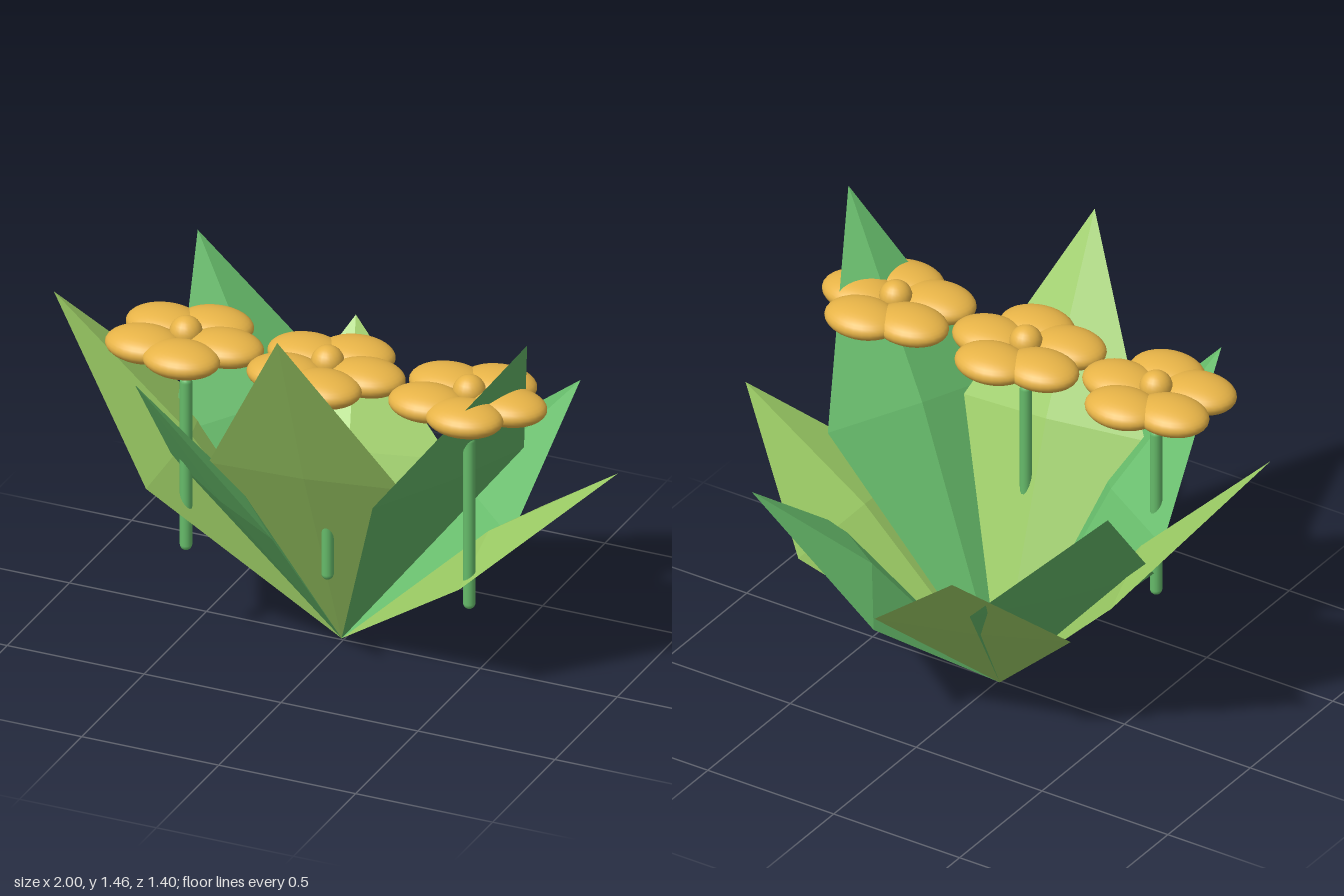
import * as THREE from 'three';

export function createModel() {
  const model = new THREE.Group();
  model.name = 'floweringPlant';

  const lightLeaf = new THREE.MeshStandardMaterial({ color: 0x9ccc65, flatShading: true });
  lightLeaf.name = 'light leaf green';
  const greenLeaf = new THREE.MeshStandardMaterial({ color: 0x66bb6a, flatShading: true });
  greenLeaf.name = 'leaf green';
  const stemGreen = new THREE.MeshStandardMaterial({ color: 0x66bb6a });
  stemGreen.name = 'stem green';
  const petalGold = new THREE.MeshStandardMaterial({ color: 0xe9b548 });
  petalGold.name = 'petal gold';

  const add = (parent, name, geometry, material, x, y, z) => {
    const mesh = new THREE.Mesh(geometry, material);
    mesh.name = name;
    mesh.position.set(x, y, z);
    parent.add(mesh);
  };

  // Thin solid diamond leaf: a raised ridge on the inside, almost flat outside
  function leafGeometry(tip) {
    const root = new THREE.Vector3();
    const out = new THREE.Vector3(tip.x, 0, tip.z);
    const reach = out.length();
    out.normalize();
    const side = new THREE.Vector3(-out.z, 0, out.x).multiplyScalar(0.335);
    const middle = new THREE.Vector3(tip.x * 0.575, tip.y * 0.555, tip.z * 0.575);
    const inward = out.clone().multiplyScalar(-tip.y).setY(reach).normalize();
    const rim = [root, middle.clone().add(side), tip, middle.clone().sub(side)];
    const inner = middle.clone().addScaledVector(inward, 0.07);
    const outer = middle.clone().addScaledVector(inward, -0.012);
    const corners = [];
    rim.forEach((p, i) => {
      const q = rim[(i + 1) % 4];
      corners.push(p, q, inner, q, p, outer);
    });
    const geometry = new THREE.BufferGeometry().setFromPoints(corners);
    geometry.computeVertexNormals();
    return geometry;
  }

  // Leaves spiral round by the golden angle, with three repeating heights
  const leaves = new THREE.Group();
  leaves.name = 'leaves';
  const heights = [0.832, 1.143, 1.455];
  for (let i = 0; i < 8; i++) {
    const angle = THREE.MathUtils.degToRad(-137.5 * i);
    const tip = new THREE.Vector3(Math.cos(angle) * 1.01, heights[i % 3], Math.sin(angle) * 0.713);
    add(leaves, 'leaf', leafGeometry(tip), i % 2 ? greenLeaf : lightLeaf, -0.01, 0, -0.008);
  }
  model.add(leaves);

  // Three flowers in a row, each with a stem, five petals and a round centre
  const stemGeometry = new THREE.CapsuleGeometry(0.021, 0.605, 6, 14);
  const petalGeometry = new THREE.SphereGeometry(1, 28, 18).scale(0.135, 0.055, 0.107);
  const centreGeometry = new THREE.SphereGeometry(0.056, 20, 14);
  for (const x of [-0.457, 0.06, 0.577]) {
    const flower = new THREE.Group();
    flower.name = 'flower';
    flower.position.set(x, 0, 0.258);
    add(flower, 'stem', stemGeometry, stemGreen, 0, 0.685, 0);
    for (let i = 0; i < 5; i++) {
      const angle = (i / 5) * Math.PI * 2;
      add(flower, 'petal', petalGeometry, petalGold, Math.cos(angle) * 0.142, 1.145, Math.sin(angle) * 0.142);
    }
    add(flower, 'flowerCentre', centreGeometry, petalGold, 0, 1.175, 0);
    model.add(flower);
  }

  return model;
}
